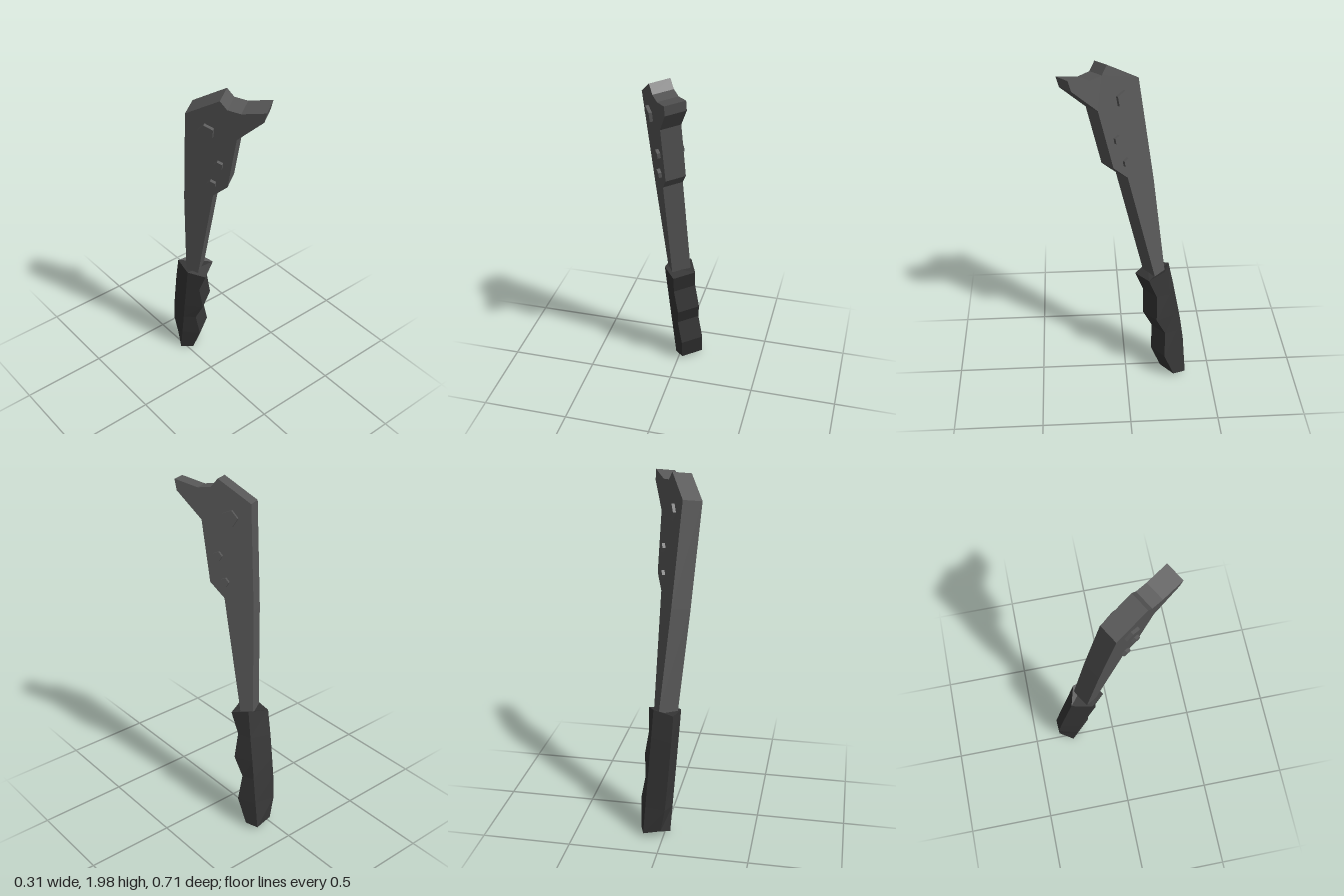
import * as THREE from 'three';

export function createModel() {
  const metal = new THREE.MeshStandardMaterial({ color: 0x575757 });
  metal.name = 'dark steel';
  const rubber = new THREE.MeshStandardMaterial({ color: 0x363636 });
  rubber.name = 'black grip';

  // Local frame: x runs to the back of the tool, y up its length, z through its thickness
  const tool = new THREE.Group();
  tool.name = 'handTool';
  const MID = 0.2, HALF = 0.0565;
  const add = (geometry, material, name) => {
    const mesh = new THREE.Mesh(geometry, material);
    mesh.name = name;
    tool.add(mesh);
    return mesh;
  };

  // Flat blade with a forward hook and a notched top
  const outline = [
    [-0.331, 1.957], [-0.317, 1.898], [-0.174, 1.759], [-0.113, 1.427], [-0.029, 1.347],
    [0.09, 0.72], [0.1, 0.66], [0.17, 0.66], [0.165, 0.72], [0.138, 1.293], [0.093, 1.871],
    [-0.094, 1.983], [-0.13, 1.936], [-0.202, 1.926],
  ];
  const blade = new THREE.ExtrudeGeometry(
    new THREE.Shape(outline.map(([x, y]) => new THREE.Vector2(x, y))),
    { depth: HALF * 2, bevelEnabled: false });
  blade.translate(0, 0, MID - HALF);
  add(blade, metal, 'blade');

  // Five-sided rivets on both faces
  for (const [x, y, r] of [[-0.017, 1.785, 0.046], [-0.073, 1.577, 0.026], [-0.029, 1.438, 0.026]]) {
    for (const side of [1, -1]) {
      const g = new THREE.CylinderGeometry(r, r, 0.036, 5).toNonIndexed();
      g.computeVertexNormals();
      g.rotateX(Math.PI / 2).rotateZ(Math.PI / 2 + 0.1);
      const rivet = add(g, metal, side > 0 ? 'leftRivet' : 'rightRivet');
      rivet.position.set(x, y, MID + side * HALF);
    }
  }

  // Grip: five-sided rings with finger grooves in front and a ridge behind
  // each row: front x, y, side x, y, ridge x, y
  const rows = [
    [0.165, 0.005, 0.24, 0.0, 0.288, 0.033],
    [0.11, 0.155, 0.22, 0.155, 0.303, 0.17],
    [0.129, 0.305, 0.201, 0.305, 0.293, 0.305],
    [0.076, 0.417, 0.187, 0.417, 0.279, 0.418],
    [0.09, 0.567, 0.168, 0.56, 0.26, 0.565],
    [0.045, 0.69, 0.148, 0.717, 0.237, 0.713],
  ];
  const rings = rows.map(([fx, fy, sx, sy, rx, ry]) => [
    [fx, fy, MID + 0.067], [sx, sy, MID + 0.083], [rx, ry, MID],
    [sx, sy, MID - 0.083], [fx, fy, MID - 0.067],
  ]);
  const pos = [];
  const tri = (a, b, c) => pos.push(...a, ...b, ...c);
  for (let j = 0; j < rings.length - 1; j++) {
    for (let i = 0; i < 5; i++) {
      const k = (i + 1) % 5, lo = rings[j], hi = rings[j + 1];
      tri(lo[i], lo[k], hi[k]);
      tri(lo[i], hi[k], hi[i]);
    }
  }
  const bottom = rings[0], top = rings[rings.length - 1];
  for (let i = 1; i < 4; i++) {
    tri(top[0], top[i], top[i + 1]);
    tri(bottom[0], bottom[i + 1], bottom[i]);
  }
  const grip = new THREE.BufferGeometry();
  grip.setAttribute('position', new THREE.Float32BufferAttribute(pos, 3));
  grip.computeVertexNormals();
  add(grip, rubber, 'grip');

  // Lean the tool into its resting pose
  const normal = new THREE.Vector3(0.839, 0.143, -0.525).normalize();
  const back = new THREE.Vector3(0, 1, 0).cross(normal).normalize();
  const up = normal.clone().cross(back);
  tool.quaternion.setFromRotationMatrix(new THREE.Matrix4().makeBasis(back, up, normal));

  const group = new THREE.Group();
  group.add(tool);
  return group;
}
